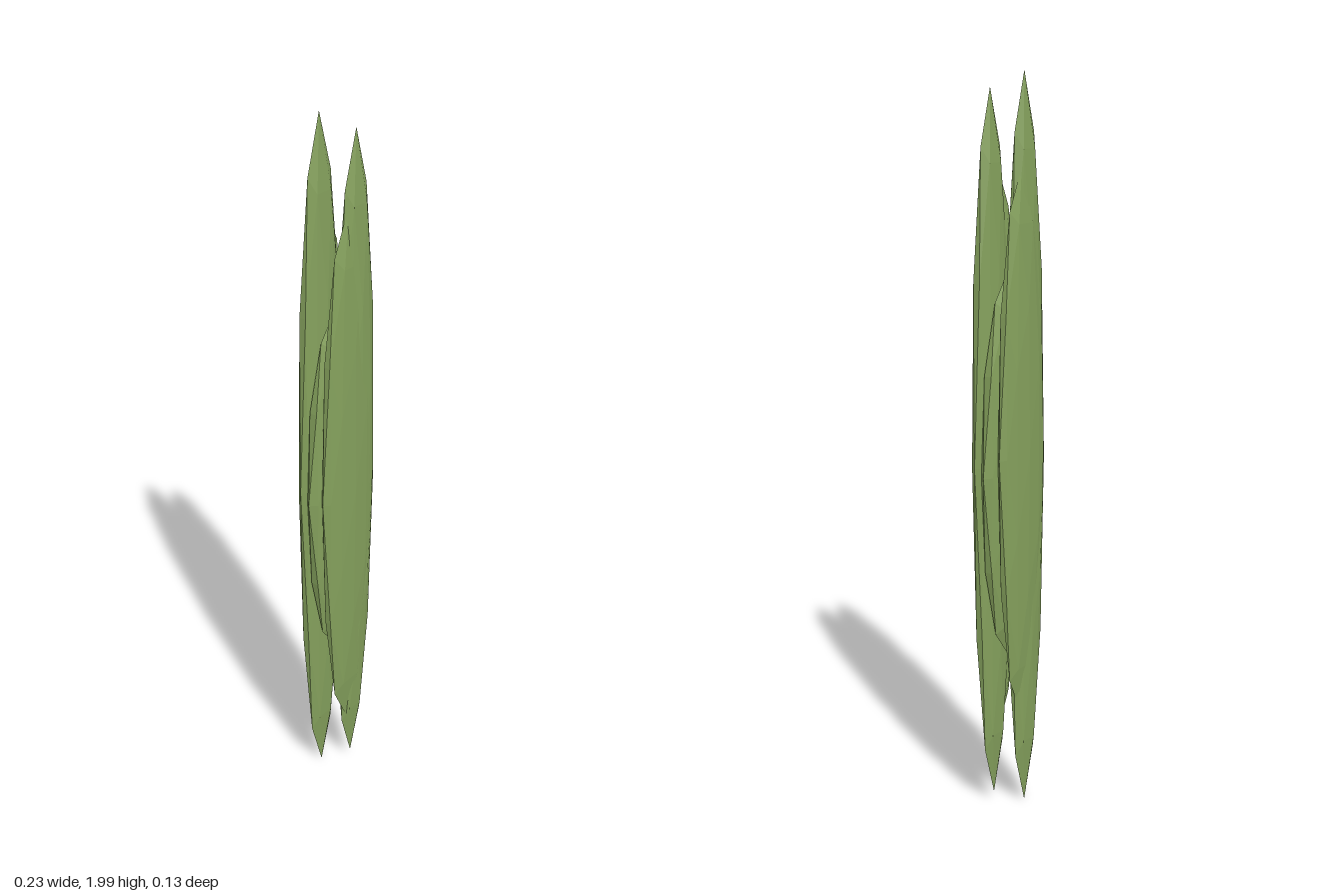
import * as THREE from 'three';

const material = new THREE.MeshStandardMaterial({ color: 0x84a05c, flatShading: true });

// One slender faceted blade: centre, half-sizes and a slight fore-aft lean
function blade(name, [x, y, z], [rx, ry, rz], lean = 0) {
  const geometry = new THREE.IcosahedronGeometry(1, 1);
  geometry.scale(rx, ry, rz);
  const mesh = new THREE.Mesh(geometry, material);
  mesh.name = name;
  mesh.position.set(x, y, z);
  mesh.rotation.x = lean;
  return mesh;
}

export function createModel() {
  const group = new THREE.Group();
  group.name = 'bladeCluster';

  // Two tall blades, offset to opposite sides
  group.add(blade('frontTallBlade', [0.03, 1.0, 0.032], [0.079, 0.96, 0.031], 0.003));
  group.add(blade('backTallBlade', [-0.028, 1.005, -0.031], [0.082, 0.995, 0.031], 0.003));

  // Shorter, broader blades filling out the front and back
  group.add(blade('frontShortBlade', [0, 0.99, 0.038], [0.104, 0.79, 0.028]));
  group.add(blade('backShortBlade', [0, 1.03, -0.04], [0.1, 0.74, 0.028]));

  // Core blade between the layers
  group.add(blade('coreBlade', [0, 0.98, 0], [0.115, 0.53, 0.035]));

  return group;
}
